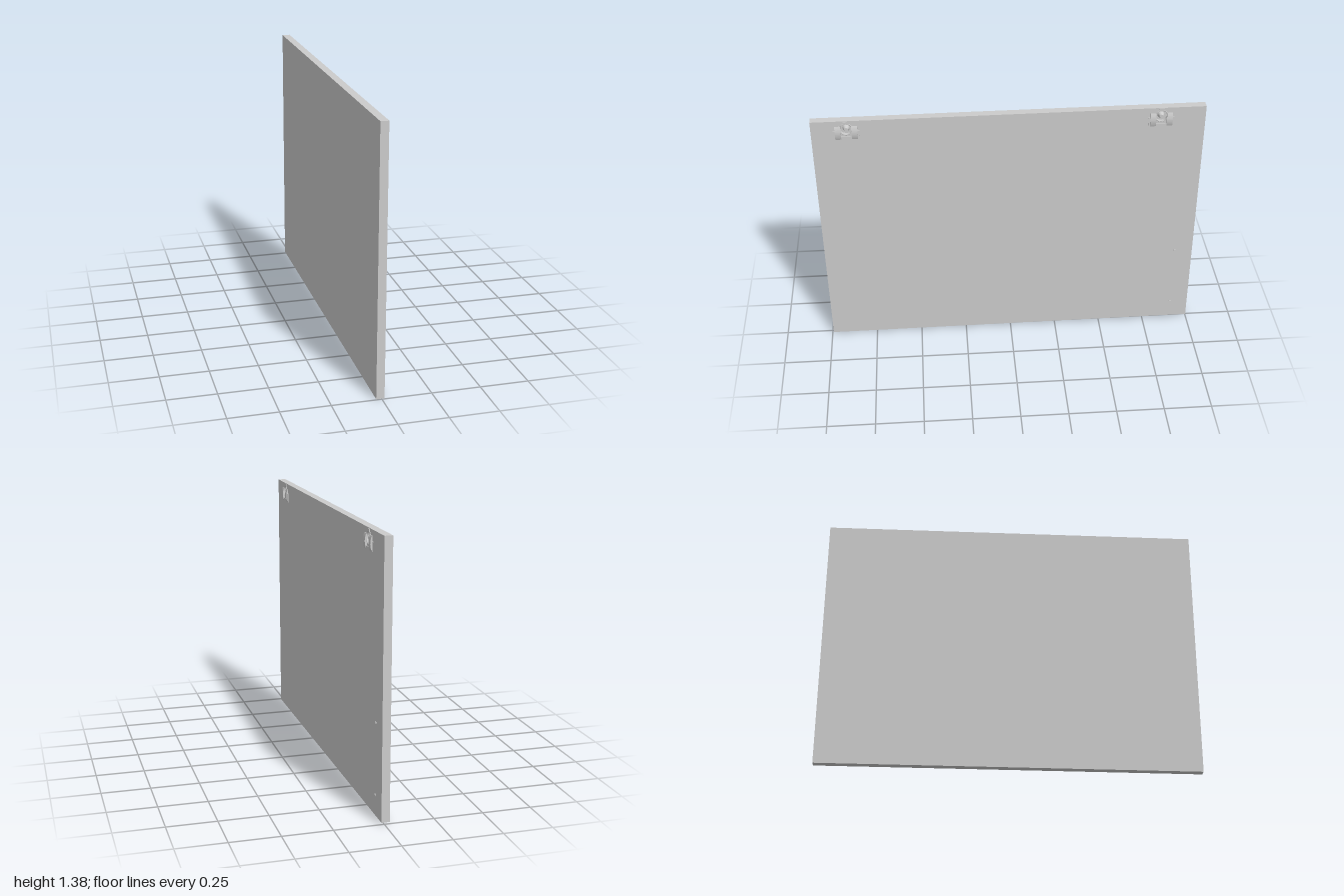
import * as THREE from 'three';

const FACE = 0.0145, BACK = -0.027, POCKET = -0.005; // depths through the panel
const W = 1.994, H = 1.372, TILT = 0.0045;
const BRACKETS = [[-0.82, 1.325], [0.77, 1.325]];
const MID = 0.6905;

export function createModel() {
  const mat = new THREE.MeshStandardMaterial({ color: 0xcccccc, side: THREE.DoubleSide });
  // Parts are laid out in a face-on frame: x along the panel, y up, z out of its face
  const face = new THREE.Group();
  face.name = 'panelAssembly';
  const add = (parent, name, geo, x = 0, y = 0, z = 0) => {
    const m = new THREE.Mesh(geo, mat);
    m.name = name;
    m.position.set(x, y, z);
    parent.add(m);
    return m;
  };

  // Front layer with round pockets, then the solid back layer
  const outline = new THREE.Shape([[-W, -H], [W, -H], [W, H], [-W, H]]
    .map(([x, y]) => new THREE.Vector2(x / 2, y / 2)));
  for (const [x, y] of BRACKETS) {
    outline.holes.push(new THREE.Path().absarc(x, y - MID + 0.005, 0.033, 0, Math.PI * 2, true));
  }
  add(face, 'panelFrontLayer', new THREE.ExtrudeGeometry(outline,
    { depth: FACE - POCKET, bevelEnabled: false, curveSegments: 16 }), 0, 0, POCKET);
  add(face, 'panelBackLayer', new THREE.BoxGeometry(W, H, POCKET - BACK), 0, 0, (POCKET + BACK) / 2);

  // Curved cheek of a bracket: arched side profile swept across its width
  const profile = new THREE.Shape();
  profile.moveTo(0, -0.052);
  profile.lineTo(0.004, -0.052);
  profile.quadraticCurveTo(0.019, -0.015, 0.004, 0.022);
  profile.lineTo(0, 0.022);
  const cheekGeo = new THREE.ExtrudeGeometry(profile,
    { depth: 0.03, bevelEnabled: false, curveSegments: 10 });
  cheekGeo.translate(0, 0, -0.015).rotateY(-Math.PI / 2);

  for (const [x, y] of BRACKETS) {
    const bracket = new THREE.Group();
    bracket.name = 'hangerBracket';
    bracket.position.set(x, y - MID, FACE);
    for (const s of [-1, 1]) {
      add(bracket, 'cheek', cheekGeo, s * 0.042);
      add(bracket, 'foot', new THREE.BoxGeometry(0.012, 0.05, 0.004), s * 0.06, -0.027, 0.002);
    }
    add(bracket, 'lowerBridge', new THREE.BoxGeometry(0.06, 0.014, 0.004), 0, -0.044, 0.002);
    // Collar, tapered pin and retaining tab in the pocket
    add(bracket, 'collar', new THREE.TorusGeometry(0.032, 0.003, 6, 20), 0, 0.005, 0);
    const pin = new THREE.CylinderGeometry(0.01, 0.018, FACE - POCKET, 12).rotateX(Math.PI / 2);
    add(bracket, 'pin', pin, 0, 0.002, (POCKET - FACE) / 2);
    add(bracket, 'tab', new THREE.BoxGeometry(0.026, 0.014, 0.004), 0, 0.041, 0.001);
    face.add(bracket);
  }

  // Small stop pegs near one edge
  for (const y of [0.107, 0.47]) {
    add(face, 'stopPeg', new THREE.CylinderGeometry(0.007, 0.008, 0.008, 12).rotateX(Math.PI / 2),
      0.9, y - MID, FACE);
  }

  // Slight lean of the panel, then turn its face to +x
  face.rotation.z = TILT;
  const turn = new THREE.Group();
  turn.name = 'panel';
  turn.rotation.y = Math.PI / 2;
  turn.position.y = MID;
  turn.add(face);
  const root = new THREE.Group();
  root.add(turn);
  return root;
}
